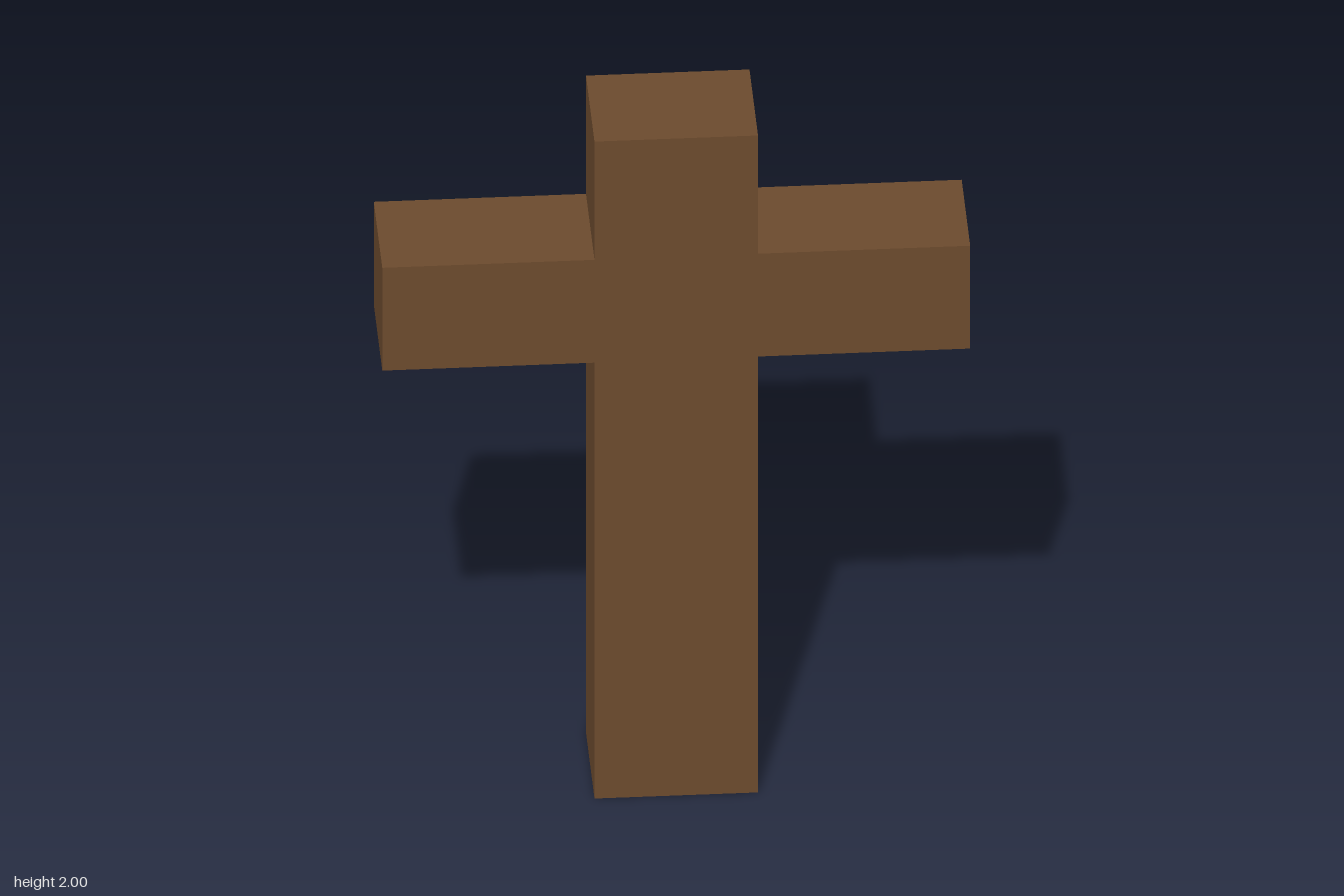
import * as THREE from 'three';

export function createModel() {
  const brownWood = new THREE.MeshStandardMaterial({ color: 0x6b4a2d });
  brownWood.name = 'brownWood';

  const post = 0.21;      // half width of the upright
  const arm = 0.755;      // half span of the crossbar
  const armLow = 1.327, armHigh = 1.64, top = 2;
  const depth = 0.314;

  // Right half of the outline from the base up, mirrored for the left half
  const half = [
    [post, 0], [post, armLow], [arm, armLow],
    [arm, armHigh], [post, armHigh], [post, top],
  ];
  const mirrored = half.map(([x, y]) => [-x, y]).reverse();
  const outline = new THREE.Shape([...half, ...mirrored].map(([x, y]) => new THREE.Vector2(x, y)));

  // Upright and crossbar form one flush solid
  const geometry = new THREE.ExtrudeGeometry(outline, { depth, bevelEnabled: false });
  geometry.translate(0, 0, -depth / 2);
  const cross = new THREE.Mesh(geometry, brownWood);
  cross.name = 'cross';

  const model = new THREE.Group();
  model.name = 'woodenCross';
  model.add(cross);
  return model;
}
